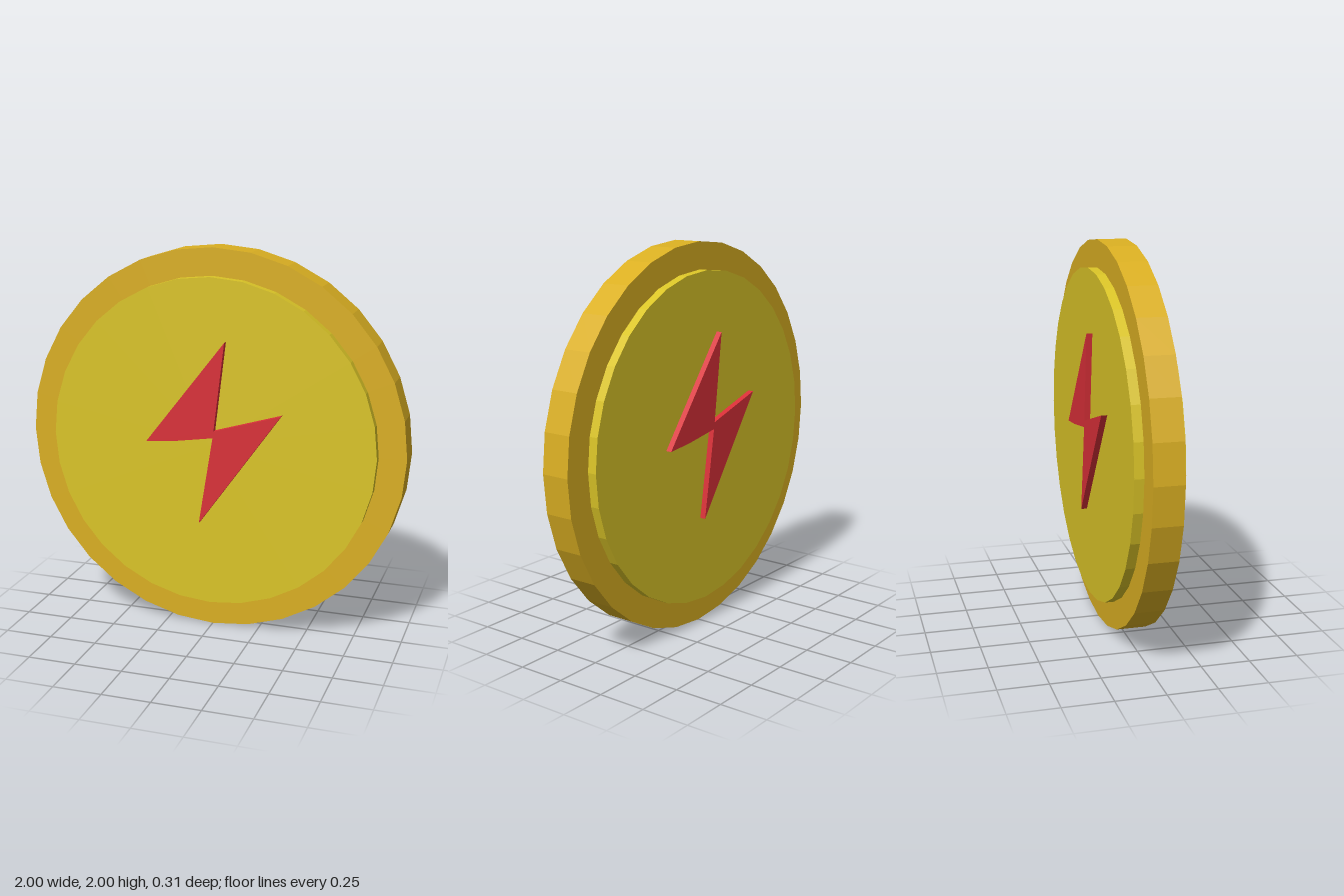
import * as THREE from 'three';

const material = (color) => new THREE.MeshStandardMaterial({ color, flatShading: true });

// 32-sided disc standing upright, with its axis along z
function disc(name, radius, thickness, color) {
  const geometry = new THREE.CylinderGeometry(radius, radius, thickness, 32).rotateX(Math.PI / 2);
  const mesh = new THREE.Mesh(geometry, material(color));
  mesh.name = name;
  mesh.position.y = 1;
  return mesh;
}

export function createModel() {
  const coin = new THREE.Group();
  coin.name = 'coin';

  // Outer rim and the thicker inner disc that stands proud on both sides
  coin.add(disc('rim', 1, 0.15, 0xdaaf22));
  coin.add(disc('innerDisc', 0.86, 0.245, 0xdac427));

  // Lightning bolt emblem, measured from the coin's centre
  const outline = [
    [0.086, 0.543], [-0.335, 0.003], [-0.185, 0.017], [0.025, 0.05],
    [-0.05, -0.412], [0.38, 0.19], [0.03, 0.085],
  ].map(([x, y]) => new THREE.Vector2(x, y));
  const boltGeometry = new THREE.ExtrudeGeometry(new THREE.Shape(outline), {
    depth: 0.043, bevelEnabled: false,
  }).translate(0, 0, 0.11);
  const boltMaterial = material(0xda3038);

  // The same bolt on each face, turned half round for the back
  ['frontBolt', 'backBolt'].forEach((name, i) => {
    const bolt = new THREE.Mesh(boltGeometry, boltMaterial);
    bolt.name = name;
    bolt.position.y = 1;
    bolt.rotation.y = i * Math.PI;
    coin.add(bolt);
  });

  return coin;
}
